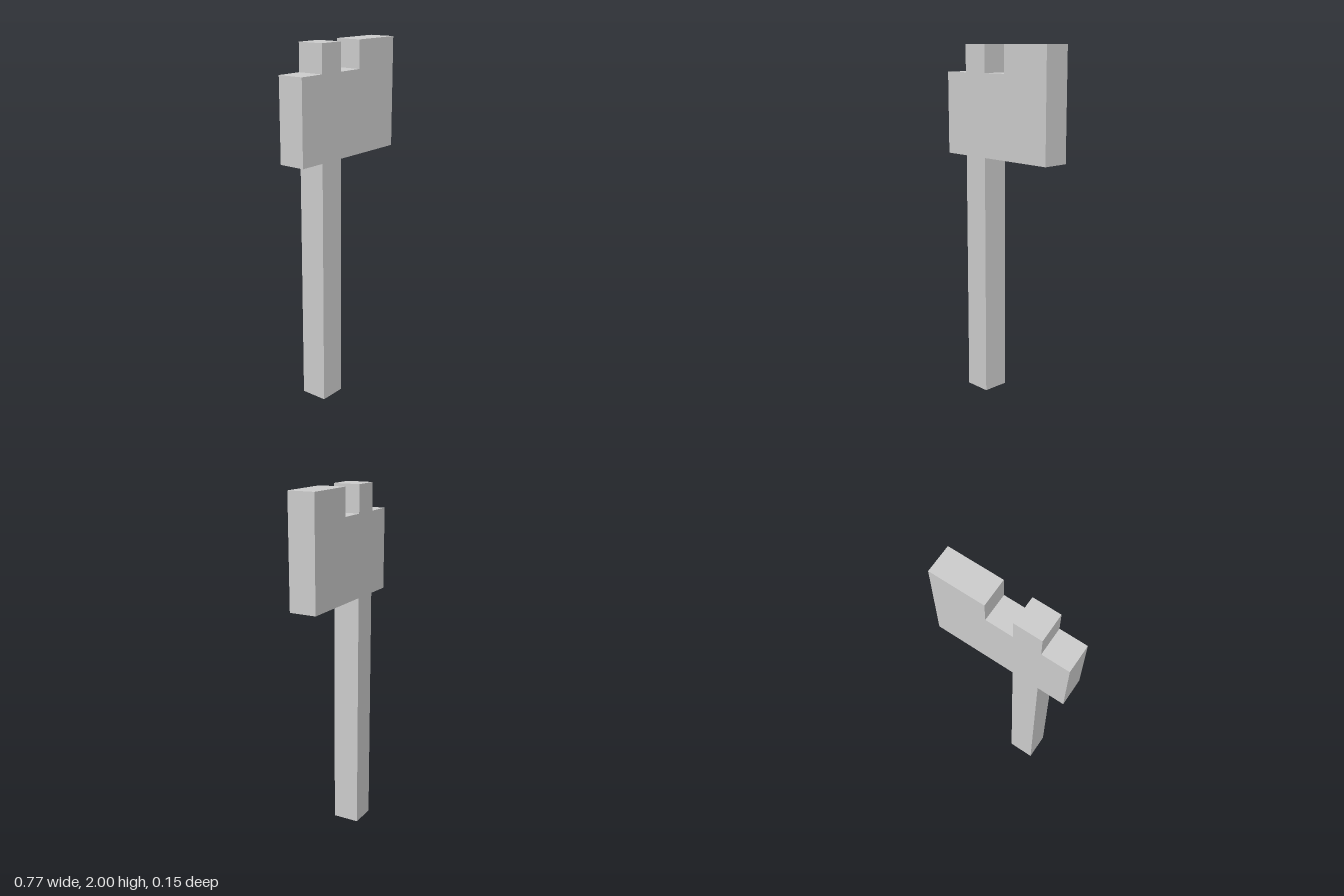
import * as THREE from 'three';

// The axe is laid out on a block grid, 13 blocks tall
const U = 2 / 13;

// Outline in blocks, counter-clockwise from the foot of the handle
const OUTLINE = [
  [-1.5, 0], [-0.5, 0],                         // handle foot
  [-0.5, 9], [2.5, 9], [2.5, 13], [0.5, 13],    // blade
  [0.5, 12], [-0.5, 12],                        // notch
  [-0.5, 13], [-1.5, 13],                       // handle tip
  [-1.5, 12], [-2.5, 12], [-2.5, 9], [-1.5, 9], // poll behind the handle
];

export function createModel() {
  const group = new THREE.Group();
  group.name = 'blockAxe';

  // Handle and head form one solid, one block thick
  const shape = new THREE.Shape(OUTLINE.map(([x, y]) => new THREE.Vector2(x * U, y * U)));
  const geometry = new THREE.ExtrudeGeometry(shape, { depth: U, bevelEnabled: false });
  geometry.translate(0, 0, -U / 2);

  const material = new THREE.MeshStandardMaterial({ color: 0xcccccc, flatShading: true });
  const axe = new THREE.Mesh(geometry, material);
  axe.name = 'axeHandleAndHead';
  group.add(axe);
  return group;
}
